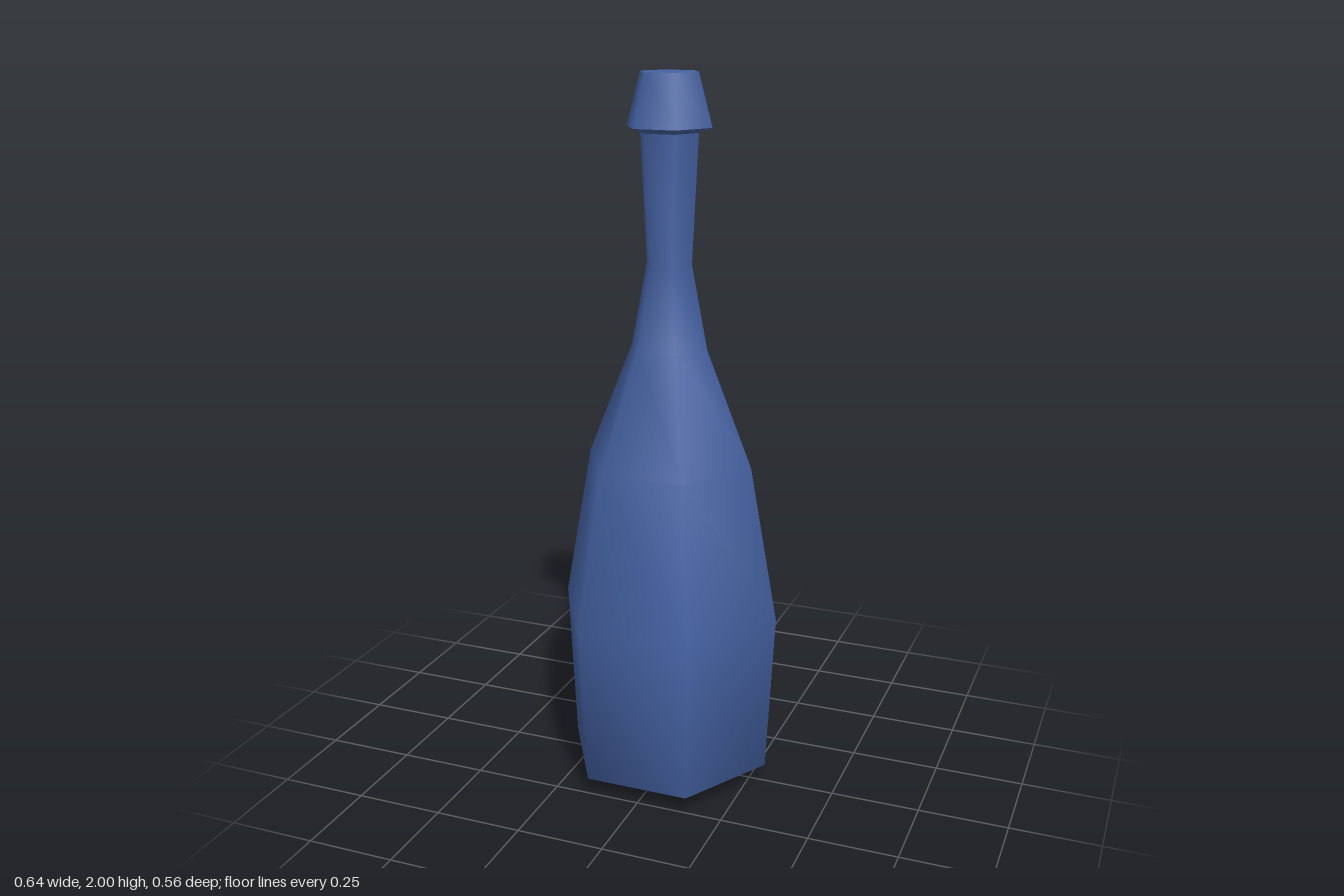
import * as THREE from 'three';

const SIDES = 6;

export function createModel() {
  const bottle = new THREE.Group();
  bottle.name = 'bottle';
  const glass = new THREE.MeshStandardMaterial({ color: 0x4562a3 });

  // Six-sided turned part from [radius, height] points, with a corner on +x
  const turn = (name, profile) => {
    const points = profile.map(([r, y]) => new THREE.Vector2(r, y));
    const mesh = new THREE.Mesh(new THREE.LatheGeometry(points, SIDES, Math.PI / 2), glass);
    mesh.name = name;
    bottle.add(mesh);
  };

  // Base, belly, shoulder and neck in one smooth skin
  turn('body', [
    [0, 0], [0.148, 0], [0.297, 0.05], [0.321, 0.51], [0.24, 0.95],
    [0.11, 1.27], [0.065, 1.5], [0.083, 1.85],
  ]);

  // Lip: separate surfaces keep its edges sharp
  turn('lipUnderside', [[0.08, 1.845], [0.12, 1.86]]);
  turn('lip', [[0.12, 1.86], [0.082, 2]]);
  turn('lipTop', [[0.082, 2], [0, 2]]);

  return bottle;
}
